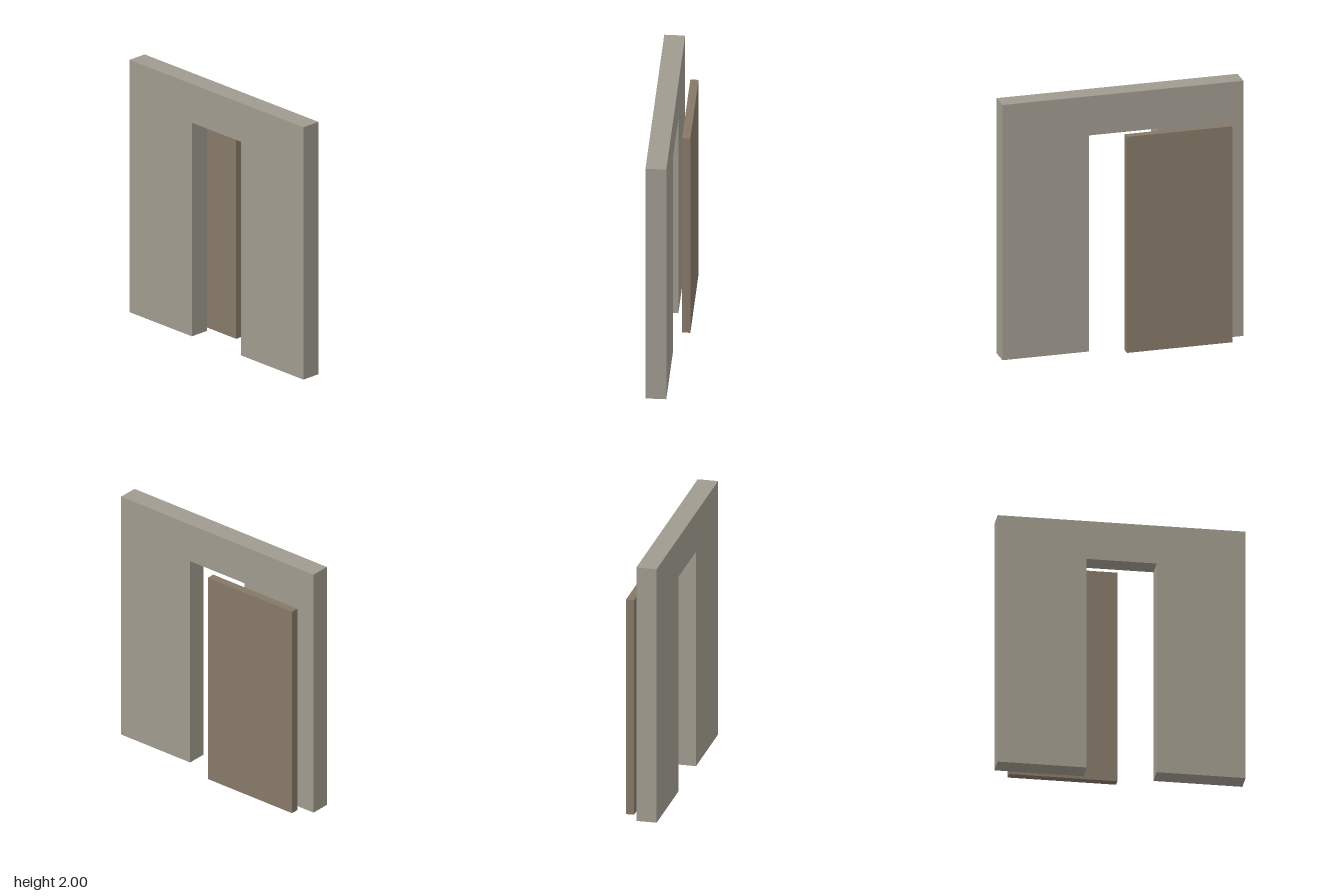
import * as THREE from 'three';

export function createModel() {
  const model = new THREE.Group();
  const halfWidth = 0.923, height = 2, wallDepth = 0.154;
  const openHalf = 0.2615, openHeight = 1.693;
  const front = 0.131; // wall front face; the door's back face mirrors it

  // Wall slab with a doorway cut up from the floor
  const outline = new THREE.Shape([
    [-halfWidth, 0], [-openHalf, 0], [-openHalf, openHeight], [openHalf, openHeight],
    [openHalf, 0], [halfWidth, 0], [halfWidth, height], [-halfWidth, height],
  ].map(([x, y]) => new THREE.Vector2(x, y)));
  const wall = new THREE.Mesh(
    new THREE.ExtrudeGeometry(outline, { depth: wallDepth, bevelEnabled: false }),
    new THREE.MeshStandardMaterial({ color: 0xa09b8f }),
  );
  wall.name = 'wall';
  wall.position.z = front - wallDepth;
  model.add(wall);

  // Sliding door panel, half open behind the wall
  const doorWidth = 0.807, doorDepth = 0.061;
  const door = new THREE.Mesh(
    new THREE.BoxGeometry(doorWidth, openHeight, doorDepth),
    new THREE.MeshStandardMaterial({ color: 0x867868 }),
  );
  door.name = 'slidingDoor';
  door.position.set(-doorWidth / 2, openHeight / 2, -front + doorDepth / 2);
  model.add(door);

  return model;
}
